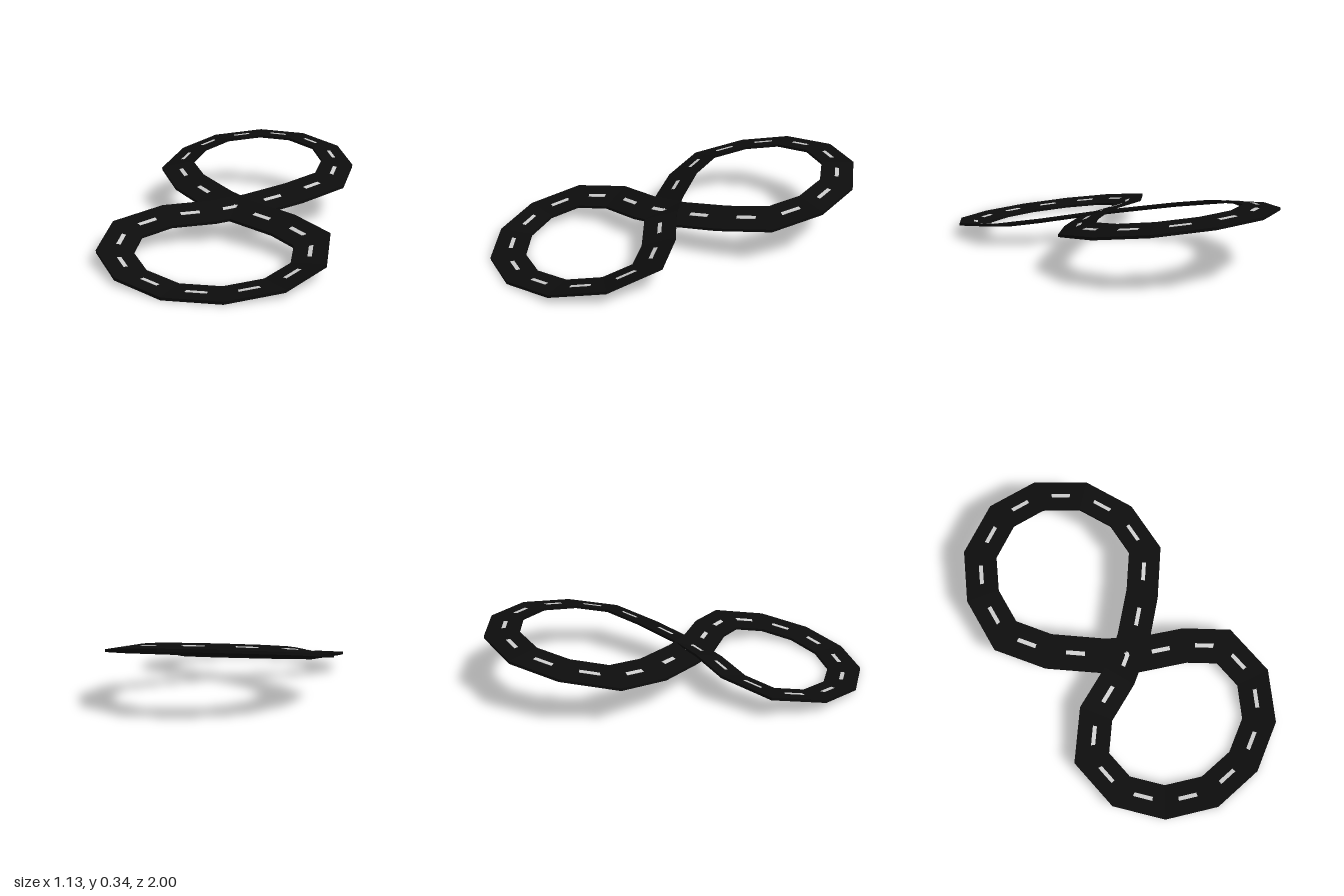
import * as THREE from 'three';

const HALF_WIDTH = 0.086, THICK = 0.014, SLOPE = 0.177;

// Centre line of the figure eight (x, z), clockwise round the back loop first
const PATH = [
  [-0.06, -0.915], [0.17, -0.89], [0.37, -0.75], [0.468, -0.535], [0.453, -0.308], [0.285, -0.125],
  [0.083, 0.045], [-0.095, 0.15], [-0.32, 0.233], [-0.48, 0.398], [-0.465, 0.622], [-0.32, 0.805],
  [-0.098, 0.908], [0.143, 0.898], [0.353, 0.785], [0.475, 0.59], [0.458, 0.365], [0.29, 0.233],
  [0.048, 0.118], [-0.1, 0.012], [-0.315, -0.178], [-0.445, -0.38], [-0.41, -0.62], [-0.285, -0.81],
].map(([x, z]) => new THREE.Vector2(x, z));

// Mitred left and right edges; each edge lies in its own sloping plane
function makeStations() {
  const n = PATH.length;
  return PATH.map((p, i) => {
    const a = p.clone().sub(PATH[(i + n - 1) % n]).normalize();
    const b = PATH[(i + 1) % n].clone().sub(p).normalize();
    const dir = a.clone().add(b).normalize();
    const w = HALF_WIDTH / dir.dot(b);
    const edge = (side, zFlat) => {
      const x = p.x - dir.y * w * side, z = p.y + dir.x * w * side;
      return new THREE.Vector3(x, Math.max(0, 0.002 + SLOPE * (zFlat - z)), z);
    };
    return { high: edge(1, 1), low: edge(-1, 0.82) };
  });
}

// Slab over four bottom corners: h0, h1 on one edge and l0, l1 on the other
function addSlab(out, h0, h1, l0, l1, thick) {
  const up = (v) => new THREE.Vector3(v.x, v.y + thick, v.z);
  const quad = (a, b, c, d) => [a, b, c, a, c, d].forEach((v) => out.push(v.x, v.y, v.z));
  quad(up(h0), up(h1), up(l1), up(l0));
  quad(h0, l0, l1, h1);
  quad(h0, h1, up(h1), up(h0));
  quad(l1, l0, up(l0), up(l1));
}

function makeMesh(name, positions, material) {
  const geo = new THREE.BufferGeometry();
  geo.setAttribute('position', new THREE.Float32BufferAttribute(positions, 3));
  geo.computeVertexNormals();
  const mesh = new THREE.Mesh(geo, material);
  mesh.name = name;
  return mesh;
}

export function createModel() {
  const asphalt = new THREE.MeshStandardMaterial({ color: 0x0d0d0d });
  asphalt.name = 'asphalt black';
  const paint = new THREE.MeshStandardMaterial({ color: 0xcccccc, side: THREE.DoubleSide });
  paint.name = 'line paint';

  const road = [], dashes = [];
  const stations = makeStations();
  stations.forEach((s, i) => {
    const e = stations[(i + 1) % stations.length];
    // Road segment
    addSlab(road, s.high, e.high, s.low, e.low, THICK);

    // Centre dash, laid just proud of the road surface
    const at = (t, across) => {
      const h = s.high.clone().lerp(e.high, t), l = s.low.clone().lerp(e.low, t);
      const v = l.lerp(h, across);
      v.y += THICK;
      return v;
    };
    const length = PATH[i].distanceTo(PATH[(i + 1) % PATH.length]);
    const dt = 0.05 / length, ds = 0.0105 / (2 * HALF_WIDTH);
    addSlab(dashes, at(0.5 - dt, 0.5 + ds), at(0.5 + dt, 0.5 + ds),
      at(0.5 - dt, 0.5 - ds), at(0.5 + dt, 0.5 - ds), 0.002);
  });

  const group = new THREE.Group();
  group.name = 'figureEightRoad';
  group.add(makeMesh('roadBed', road, asphalt), makeMesh('centreDashes', dashes, paint));
  return group;
}
